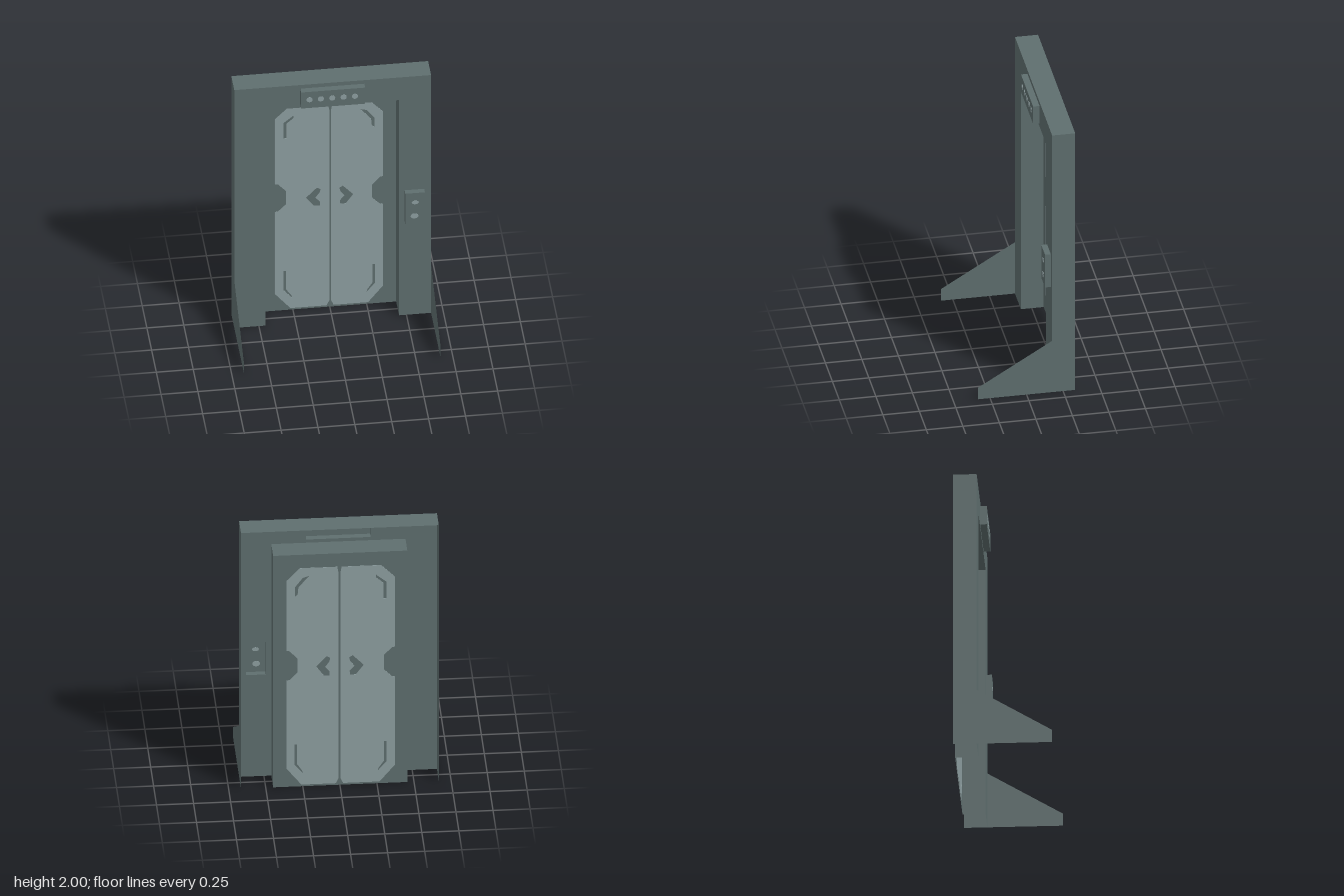
import * as THREE from 'three';

const frameMat = new THREE.MeshStandardMaterial({ color: 0x5f6f6f, side: THREE.DoubleSide });
frameMat.name = 'dark grey green metal';
const leafMat = new THREE.MeshStandardMaterial({ color: 0x8fa0a2, side: THREE.DoubleSide });
leafMat.name = 'pale grey metal';

const W = 0.667, BACK = -0.331, FRONT = -0.175, SEAM = 0.003;

const points = (list) => list.map(([x, y]) => new THREE.Vector2(x, y));
const rect = (x0, x1, y0, y1) => [[x0, y0], [x1, y0], [x1, y1], [x0, y1]];

function shapeOf(outline, holes = []) {
  const shape = new THREE.Shape(points(outline));
  holes.forEach((h) => shape.holes.push(new THREE.Path(points(h))));
  return shape;
}

// Thin sheets facing along z, x or y; outlines are (x,y), (z,y) and (x,z)
function sheet(name, axis, at, outline, holes) {
  const geo = new THREE.ShapeGeometry(shapeOf(outline, holes));
  if (axis === 'x') geo.rotateY(-Math.PI / 2);
  if (axis === 'y') geo.rotateX(Math.PI / 2);
  const mesh = new THREE.Mesh(geo, frameMat);
  mesh.position[axis] = at;
  mesh.name = name;
  return mesh;
}

// Hollow tray: a face at zFace and walls running to zOpen
function tray(name, [x0, x1, y0, y1], zFace, zOpen, hasFloor = true) {
  const group = new THREE.Group();
  group.name = name;
  group.add(sheet(name + 'Face', 'z', zFace, rect(x0, x1, y0, y1)));
  for (const x of [x0, x1]) group.add(sheet(name + 'Side', 'x', x, rect(zFace, zOpen, y0, y1)));
  for (const y of hasFloor ? [y0, y1] : [y1]) group.add(sheet(name + 'Edge', 'y', y, rect(x0, x1, zFace, zOpen)));
  return group;
}

// Oval lamp, thin plate through the face
function lamp(name, x, y, z, rx, ry) {
  const mesh = new THREE.Mesh(new THREE.CylinderGeometry(1, 1, 0.005, 12), leafMat);
  mesh.rotation.x = Math.PI / 2;
  mesh.scale.set(rx, 1, ry);
  mesh.position.set(x, y, z);
  mesh.name = name;
  return mesh;
}

// Pale door leaf showing on both faces of the door
function leaf(name, outline, holes) {
  const geo = new THREE.ExtrudeGeometry(shapeOf(outline, holes), { depth: 0.004, bevelEnabled: false });
  const mesh = new THREE.Mesh(geo, leafMat);
  mesh.position.z = BACK - 0.002;
  mesh.name = name;
  return mesh;
}

export function createModel() {
  const model = new THREE.Group();
  model.name = 'slidingDoorway';

  const opening = [-0.455, 0.45, 0, 1.81];
  const sign = [-0.22, 0.215, 1.835, 1.97];
  const control = [0.487, 0.62, 0.793, 1.048];

  // Hollow frame: front plate, top, and sides that run out into braces
  model.add(sheet('frontPlate', 'z', FRONT,
    [[-W, 0], [-0.455, 0], [-0.455, 1.81], [0.45, 1.81], [0.45, 0], [W, 0], [W, 2], [-W, 2]],
    [rect(...sign), rect(...control)]));
  model.add(sheet('topPlate', 'y', 2, rect(-W, W, -0.333, FRONT)));
  for (const s of [-1, 1]) {
    model.add(sheet(s < 0 ? 'rightSideBrace' : 'leftSideBrace', 'x', s * W,
      [[-0.333, 0], [0.333, 0], [0.333, 0.09], [FRONT, 0.4], [FRONT, 2], [-0.333, 2]]));
  }

  // Recessed door, overhead sign box and wall control box
  model.add(tray('doorRecess', opening, BACK, FRONT, false));
  model.add(tray('signBox', sign, -0.131, FRONT));
  model.add(tray('controlBox', control, -0.135, FRONT));

  // Leaf outline with cut corners and a side notch
  const outline = [
    [-0.267, 0.014], [-0.022, 0.014], [-0.003, 0.055], [-0.003, 1.655], [-0.012, 1.706],
    [-0.278, 1.706], [-0.373, 1.61], [-0.373, 1.065], [-0.35, 1.06], [-0.296, 1.0],
    [-0.296, 0.89], [-0.35, 0.835], [-0.373, 0.83], [-0.373, 0.143],
  ];
  const chevron = [
    [-0.161, 0.932], [-0.108, 0.86], [-0.068, 0.858], [-0.066, 0.89], [-0.098, 0.927],
    [-0.07, 0.965], [-0.062, 0.995], [-0.087, 1.01],
  ];
  const lowMark = [
    [-0.315, 0.33], [-0.315, 0.17], [-0.255, 0.1], [-0.26, 0.12], [-0.297, 0.175], [-0.297, 0.33],
  ];
  const highMark = [
    [-0.313, 1.445], [-0.295, 1.445], [-0.295, 1.565], [-0.245, 1.61], [-0.245, 1.632], [-0.313, 1.575],
  ];
  const farHighMark = [
    [0.205, 1.645], [0.25, 1.63], [0.302, 1.56], [0.302, 1.485], [0.285, 1.5], [0.28, 1.555], [0.235, 1.61],
  ];
  const mirror = (list) => list.map(([x, y]) => [SEAM - (x - SEAM) * 0.95, y]);
  model.add(leaf('rightDoorLeaf', outline, [chevron, lowMark, highMark]));
  model.add(leaf('leftDoorLeaf', mirror(outline), [mirror(chevron), mirror(lowMark), farHighMark]));

  // Sign lamps and control buttons
  for (let i = 0; i < 5; i++) model.add(lamp('signLamp', -0.163 + i * 0.077, 1.905, -0.131, 0.021, 0.021));
  model.add(lamp('upperButton', 0.554, 0.97, -0.135, 0.024, 0.015));
  model.add(lamp('lowerButton', 0.549, 0.857, -0.135, 0.027, 0.021));

  return model;
}
